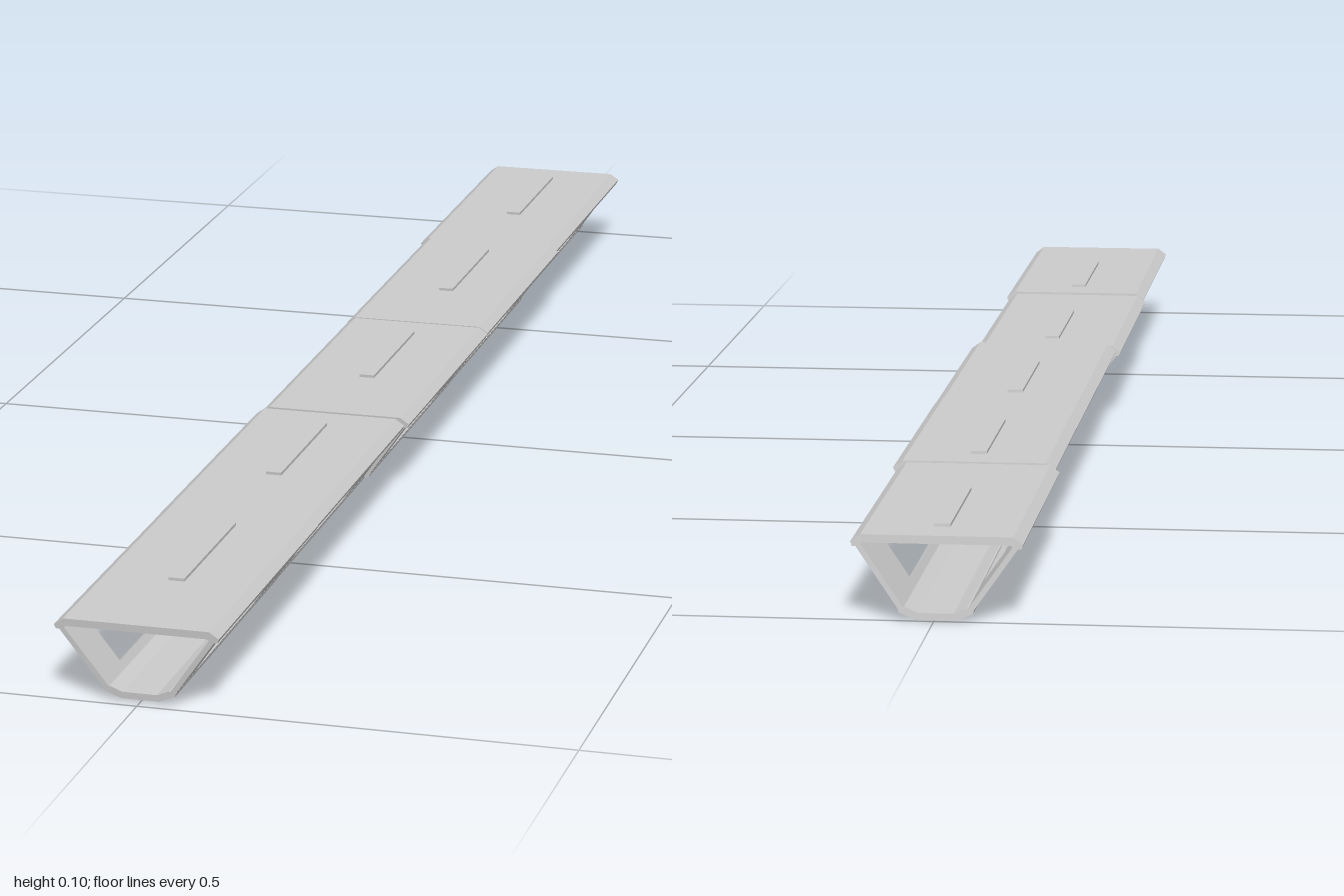
import * as THREE from 'three';

const material = new THREE.MeshStandardMaterial({ color: 0xcccccc, flatShading: true, side: THREE.DoubleSide });
const LENGTH = 0.3976; // one corridor section
const TOP = 0.094;

// Lean every section so that its underside trails towards -z
function lean(geometry) {
  const p = geometry.attributes.position;
  for (let i = 0; i < p.count; i++) p.setZ(i, p.getZ(i) + (p.getY(i) - TOP) * 0.13);
  geometry.computeVertexNormals();
  return geometry;
}

function addMesh(group, name, geometry) {
  const mesh = new THREE.Mesh(lean(geometry), material);
  mesh.name = name;
  group.add(mesh);
}

// Extrude a mirrored half profile backwards from z = 0
function beam(half) {
  const points = [...half, ...half.slice().reverse().map(([x, y]) => [-x, y])];
  const shape = new THREE.Shape(points.map(([x, y]) => new THREE.Vector2(x, y)));
  return new THREE.ExtrudeGeometry(shape, { depth: LENGTH, bevelEnabled: false }).translate(0, 0, -LENGTH);
}

// Rectangle as a closed path, in distance along the wall and up the slope
function rectangle(PathClass, u0, u1, v0, v1) {
  const path = new PathClass();
  path.moveTo(u0, v0).lineTo(u1, v0).lineTo(u1, v1).lineTo(u0, v1).closePath();
  return path;
}

// Frame of a sloping wall: local x runs along the corridor, y up the slope, z outwards
function wallFrame(side) {
  const up = new THREE.Vector3(side * 0.053, 0.075, 0).normalize();
  const out = new THREE.Vector3(side * up.y, -Math.abs(up.x), 0);
  const along = new THREE.Vector3().crossVectors(up, out);
  return new THREE.Matrix4().makeBasis(along, up, out).setPosition(side * 0.039, 0.01, 0);
}

function createSection() {
  const section = new THREE.Group();

  // Chamfered deck and floor
  addMesh(section, 'deck', beam([[0.084, TOP], [0.095, 0.086], [0.093, 0.081], [0.086, 0.081], [0.081, 0.085]]));
  addMesh(section, 'floor', beam([[0.022, 0.002], [0.041, 0.01], [0.042, 0.014], [0.034, 0.016], [0.02, 0.01]]));

  // Raised strip along the deck
  addMesh(section, 'deckStrip', new THREE.BoxGeometry(0.019, 0.007, 0.2).translate(0, TOP, -0.25));

  for (const side of [1, -1]) {
    const frame = wallFrame(side);
    const s = side; // distance back from the front edge is s * u

    // Sloping wall with a long window
    const shape = rectangle(THREE.Shape, 0, s * LENGTH, 0, 0.092);
    shape.holes.push(rectangle(THREE.Path, s * 0.06, s * 0.29, 0.012, 0.086));
    const wall = new THREE.ExtrudeGeometry(shape, { depth: 0.006, bevelEnabled: false });
    addMesh(section, side > 0 ? 'leftWall' : 'rightWall', wall.translate(0, 0, -0.006).applyMatrix4(frame));

    // Small bar on the solid part of the wall
    const bar = new THREE.BoxGeometry(0.04, 0.003, 0.002).translate(s * 0.32, 0.074, 0.0005);
    addMesh(section, side > 0 ? 'leftBar' : 'rightBar', bar.applyMatrix4(frame));
  }
  return section;
}

export function createModel() {
  const model = new THREE.Group();
  model.name = 'corridor';
  // Slight misalignment from one section to the next
  const shifts = [[0, 0.001], [-0.003, -0.002], [0.003, 0], [0.003, 0.001], [-0.002, -0.001]];
  shifts.forEach(([x, y], i) => {
    const section = createSection();
    section.name = `section${i + 1}`;
    section.position.set(x, y, 1 - i * LENGTH);
    model.add(section);
  });
  return model;
}
